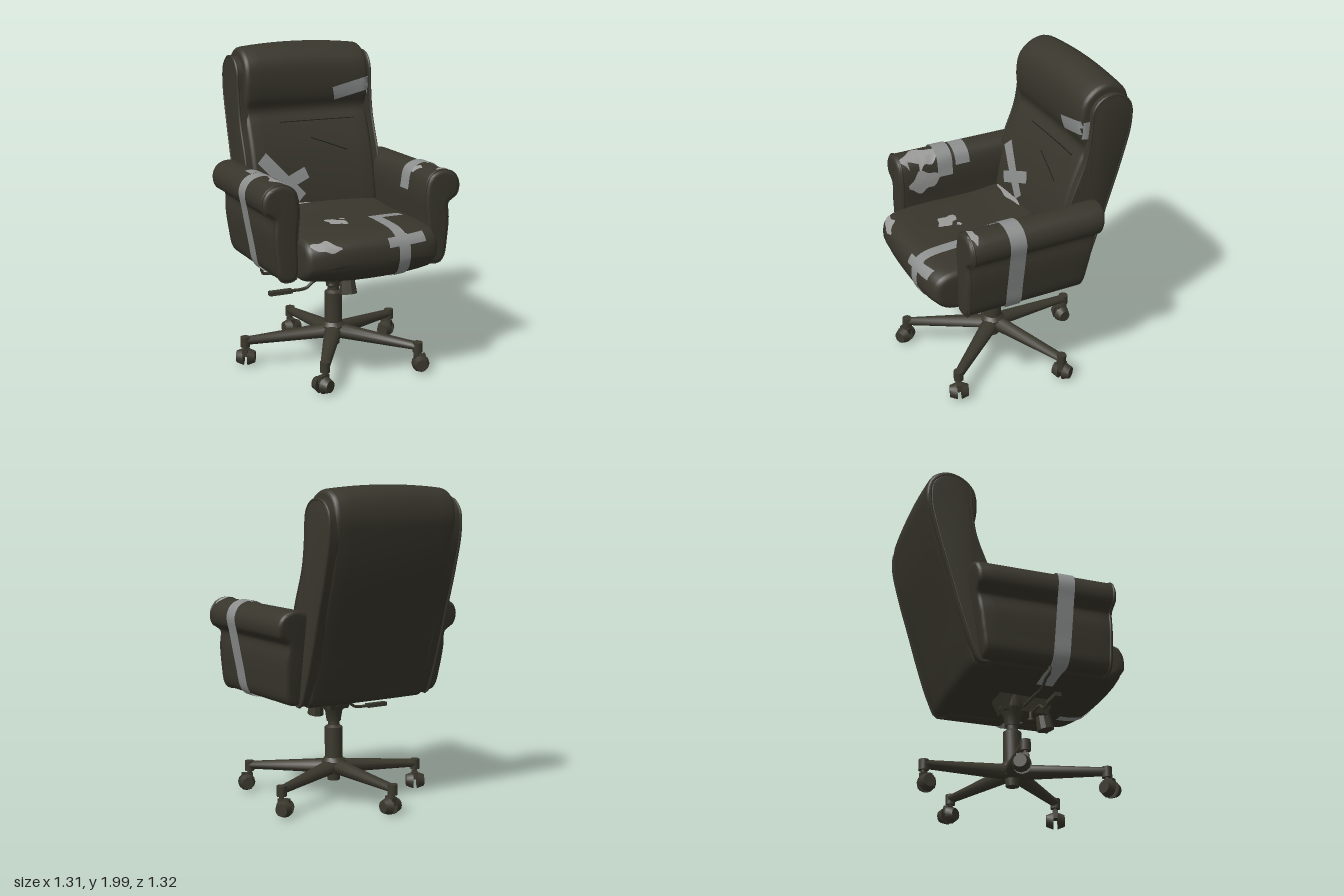
import * as THREE from 'three';
import { toCreasedNormals } from 'three/addons/utils/BufferGeometryUtils.js';

const material = (name, color, side = THREE.FrontSide) => {
  const m = new THREE.MeshStandardMaterial({ color, side });
  m.name = name;
  return m;
};
const V = (x, y, z) => new THREE.Vector3(x, y, z);

export function createModel() {
  const chair = new THREE.Group();
  chair.name = 'officeChair';
  const leather = material('leather', 0x38362c);
  const frame = material('frame', 0x3a382d);
  const tape = material('tape', 0x8d8f8f, THREE.DoubleSide);
  const foam = material('foam', 0x9b9b99, THREE.DoubleSide);
  const seam = material('seam', 0x171713, THREE.DoubleSide);

  const add = (name, geo, mat, parent = chair) => {
    const mesh = new THREE.Mesh(geo, mat);
    mesh.name = name;
    parent.add(mesh);
    return mesh;
  };
  const outline = (pts, n = 72) => new THREE.CatmullRomCurve3(
    pts.map(p => V(p[0], p[1], 0)), true, 'centripetal').getPoints(n).slice(0, -1);

  // Rounded cushion: a smooth closed profile, thickened with soft edges
  function cushion(pts, depth, bevel, along, warp) {
    const shape = new THREE.Shape(outline(pts).map(p => new THREE.Vector2(p.x, p.y)));
    const geo = new THREE.ExtrudeGeometry(shape, {
      depth: depth - 2 * bevel, steps: 10, bevelEnabled: true, bevelSize: bevel,
      bevelThickness: bevel, bevelOffset: -bevel, bevelSegments: 4,
    });
    geo.translate(0, 0, bevel - depth / 2);
    if (along === 'x') geo.rotateY(-Math.PI / 2);
    if (warp) {
      const pos = geo.attributes.position, v = V(0, 0, 0);
      for (let i = 0; i < pos.count; i++) {
        warp(v.fromBufferAttribute(pos, i));
        pos.setXYZ(i, v.x, v.y, v.z);
      }
    }
    return toCreasedNormals(geo, 0.7);
  }

  // Seat, profile in (z, y)
  const seat = add('seat', cushion([
    [-0.3, 0.71], [0, 0.685], [0.35, 0.68], [0.55, 0.69], [0.625, 0.74], [0.655, 0.83],
    [0.64, 0.92], [0.58, 0.965], [0.4, 0.985], [0, 0.985], [-0.2, 1.0], [-0.3, 0.98],
  ], 0.86, 0.035, 'x', v => {
    const e = (v.x / 0.43) ** 2;
    if (v.z > 0.3) v.z -= 0.035 * e * e * (v.z - 0.3) / 0.35;
    if (v.y < 0.8) v.y += 0.03 * e;
    else v.y -= 0.015 * e;
  }), leather);

  // Backrest with headrest roll
  const back = add('backrest', cushion([
    [-0.19, 0.8], [-0.195, 1.0], [-0.26, 1.3], [-0.335, 1.5], [-0.37, 1.58], [-0.345, 1.66],
    [-0.335, 1.78], [-0.36, 1.9], [-0.44, 1.98], [-0.53, 2.0], [-0.62, 1.95], [-0.66, 1.83],
    [-0.645, 1.7], [-0.6, 1.5], [-0.53, 1.27], [-0.45, 1.02], [-0.38, 0.8], [-0.33, 0.69], [-0.25, 0.7],
  ], 0.85, 0.03, 'x', v => {
    const e = (v.x / 0.425) ** 2;
    if (v.y > 1.8) v.y -= 0.025 * e * (v.y - 1.8) / 0.2;
    v.z += 0.012 * e;
  }), leather);

  // Side panels of the backrest with a piped edge
  const wing = [
    [-0.2, 0.95], [-0.25, 1.25], [-0.35, 1.53], [-0.375, 1.7], [-0.39, 1.85], [-0.45, 1.91],
    [-0.55, 1.915], [-0.625, 1.85], [-0.635, 1.72], [-0.585, 1.5], [-0.51, 1.25], [-0.435, 1.0],
    [-0.365, 0.8], [-0.31, 0.7], [-0.24, 0.72],
  ];
  const piping = (pts, r = 0.009) => new THREE.TubeGeometry(
    new THREE.CatmullRomCurve3(pts, true, 'centripetal'), 90, r, 6, true);
  // Armrest section, in (x, y)
  const scroll = [
    [0.44, 0.72], [0.43, 0.95], [0.42, 1.15], [0.45, 1.25], [0.53, 1.285], [0.61, 1.26],
    [0.645, 1.2], [0.635, 1.13], [0.595, 1.1], [0.573, 1.08], [0.577, 0.98], [0.567, 0.85],
    [0.55, 0.745], [0.52, 0.71],
  ];
  const arms = {};
  for (const [side, s] of [['left', 1], ['right', -1]]) {
    add(side + 'BackPanel', cushion(wing, 0.08, 0.012, 'x').translate(s * 0.428, 0, 0), leather);
    add(side + 'BackPiping', piping(wing.map(p => V(s * 0.462, p[1], p[0]))), leather);
    const armPts = scroll.map(p => [s * p[0], p[1]]);
    arms[side] = add(side + 'Armrest', cushion(armPts, 0.89, 0.025, 'z', v => {
      v.z += 0.045;
      if (v.z < 0.2) v.z += (1.26 - v.y) * 0.17 * Math.min(1, (0.2 - v.z) / 0.5);
    }), leather);
    add(side + 'ArmPiping', piping(armPts.map(p => V(p[0], p[1], 0.468)), 0.007), leather);
  }

  // Swivel column and housing
  const cz = 0.045;
  const lathe = pts => toCreasedNormals(new THREE.LatheGeometry(
    pts.map(p => new THREE.Vector2(p[0], p[1])), 20).toNonIndexed(), 0.6).translate(0, 0, cz);
  add('column', lathe([[0, 0.12], [0.04, 0.12], [0.045, 0.17], [0.078, 0.18], [0.078, 0.245],
    [0.057, 0.27], [0.057, 0.465], [0.036, 0.48], [0.036, 0.52], [0, 0.52]]), frame);
  add('housing', lathe([[0, 0.505], [0.045, 0.505], [0.055, 0.57], [0.085, 0.61],
    [0.09, 0.7], [0, 0.7]]), frame);
  const tray = new THREE.CylinderGeometry(0.13, 0.1, 0.1, 4, 1).rotateY(Math.PI / 4).scale(0.95, 1, 1.95);
  add('tiltTray', tray.toNonIndexed().translate(0, 0.64, 0.115), frame).geometry.computeVertexNormals();
  add('tensionKnob', toCreasedNormals(new THREE.CylinderGeometry(0.045, 0.055, 0.1, 10).toNonIndexed(), 0.5)
    .rotateX(-0.2).translate(0, 0.56, 0.255), frame);
  add('tiltPin', new THREE.CylinderGeometry(0.01, 0.01, 0.09, 8).translate(-0.06, 0.58, 0.145), frame);
  add('tiltPinCap', new THREE.SphereGeometry(0.022, 10, 6).scale(1, 0.6, 1).translate(-0.06, 0.54, 0.145), frame);

  // Levers under the seat
  const rod = pts => new THREE.TubeGeometry(new THREE.CatmullRomCurve3(
    pts.map(p => V(...p)), false, 'centripetal'), 24, 0.01, 6);
  add('heightLever', rod([[-0.05, 0.625, 0.1], [-0.25, 0.62, 0.1], [-0.38, 0.62, 0.1],
    [-0.45, 0.655, 0.1], [-0.5, 0.66, 0.1], [-0.51, 0.7, 0.1]]), frame);
  add('tiltLever', rod([[-0.05, 0.6, 0.16], [-0.18, 0.59, 0.16], [-0.24, 0.55, 0.16],
    [-0.36, 0.545, 0.16]]), frame);
  add('leverPaddle', new THREE.BoxGeometry(0.15, 0.025, 0.04).translate(-0.41, 0.545, 0.16), frame);

  // Five-star base with twin-wheel casters
  const R = 0.58;
  for (let i = 0; i < 5; i++) {
    const leg = new THREE.Group();
    leg.name = 'baseLeg' + (i + 1);
    leg.position.z = cz;
    leg.rotation.y = THREE.MathUtils.degToRad(42 + 72 * i);
    chair.add(leg);
    const beam = new THREE.CylinderGeometry(0.5, 0.5, 1, 8, 1).rotateY(Math.PI / 8).rotateX(Math.PI / 2);
    const p = beam.attributes.position;
    for (let k = 0; k < p.count; k++) {
      const t = p.getZ(k) + 0.5;
      p.setXYZ(k, p.getX(k) * (0.115 - 0.055 * t), 0.21 - 0.033 * t + p.getY(k) * (0.095 - 0.045 * t),
        0.02 + t * (R - 0.02));
    }
    add('beam', toCreasedNormals(beam.toNonIndexed(), 0.9), frame, leg);
    add('socket', new THREE.CylinderGeometry(0.031, 0.031, 0.065, 12).translate(0, 0.172, R - 0.01), frame, leg);
    const caster = new THREE.Group();
    caster.name = 'caster';
    caster.position.set(0, 0, R - 0.01);
    caster.rotation.y = 0.5 + i * 1.3;
    leg.add(caster);
    add('stem', new THREE.CylinderGeometry(0.014, 0.014, 0.08, 8).translate(0, 0.12, 0), frame, caster);
    add('hood', new THREE.BoxGeometry(0.035, 0.05, 0.07).translate(0, 0.1, 0.015), frame, caster);
    for (const s of [-1, 1]) {
      const wheel = new THREE.CylinderGeometry(s > 0 ? 0.038 : 0.055, s > 0 ? 0.055 : 0.038, 0.045, 12);
      add('wheel', toCreasedNormals(wheel.rotateZ(-Math.PI / 2).toNonIndexed(), 0.6)
        .translate(s * 0.036, 0.066, 0.02), frame, caster);
    }
  }

  // Strip or ragged patch laid over a surface: a grid cast along one axis onto the part
  const ray = new THREE.Raycaster();
  function drape(name, mat, target, axis, a, b, w, ragged = false) {
    const n = 16, m = 4, verts = [], ok = [], index = [];
    const s = axis[0] === '-' ? -1 : 1, ax = axis.slice(-1);
    const dx = b[0] - a[0], dy = b[1] - a[1], len = Math.hypot(dx, dy);
    for (let i = 0; i <= n; i++) for (let j = 0; j <= m; j++) {
      const t = i / n;
      const width = ragged ? w * Math.sin(Math.PI * (0.06 + 0.88 * t)) * (1 + 0.25 * Math.sin(11 * t + 2 * j)) : w;
      const o = (j / m - 0.5) * width;
      const u = a[0] + dx * t - dy / len * o, v = a[1] + dy * t + dx / len * o;
      const from = ax === 'z' ? V(u, v, 3 * s) : ax === 'y' ? V(u, 3 * s, v) : V(3 * s, v, u);
      const dir = V(ax === 'x' ? -s : 0, ax === 'y' ? -s : 0, ax === 'z' ? -s : 0);
      ray.set(from, dir);
      const hit = ray.intersectObject(target)[0];
      const q = hit ? hit.point.addScaledVector(hit.face.normal, mat === seam ? 0.003 : 0.006) : from;
      verts.push(q.x, q.y, q.z);
      ok.push(!!hit);
    }
    for (let i = 0; i < n; i++) for (let j = 0; j < m; j++) {
      const k = i * (m + 1) + j, c = [k, k + 1, k + m + 1, k + m + 2];
      if (c.every(e => ok[e])) index.push(c[0], c[2], c[1], c[1], c[2], c[3]);
    }
    const geo = new THREE.BufferGeometry();
    geo.setAttribute('position', new THREE.Float32BufferAttribute(verts, 3));
    geo.setIndex(index);
    geo.computeVertexNormals();
    add(name, geo, mat);
  }

  // Tape and tears on the backrest
  drape('backTapeDown', tape, back, 'z', [-0.36, 1.3], [-0.11, 1.03], 0.085);
  drape('backTapeAcross', tape, back, 'z', [-0.32, 1.08], [-0.06, 1.19], 0.075);
  drape('headrestTape', tape, back, 'z', [0.18, 1.67], [0.423, 1.73], 0.085);
  drape('headrestTapeSide', tape, back, 'x', [-0.34, 1.71], [-0.42, 1.71], 0.11);
  drape('backSeam', seam, back, 'z', [-0.2, 1.505], [0.32, 1.505], 0.005);
  drape('backCrack', seam, back, 'z', [0, 1.4], [0.24, 1.31], 0.006);

  // Tape and tears on the seat
  drape('seatTapeLong', tape, seat, 'y', [0.165, 0.28], [0.17, 0.63], 0.075);
  drape('seatTapeBend', tape, seat, 'y', [0.13, 0.3], [0.36, 0.26], 0.06);
  drape('seatFrontTape', tape, seat, 'z', [0.18, 0.95], [0.185, 0.7], 0.075);
  drape('seatFrontStrip', tape, seat, 'z', [0.08, 0.915], [0.33, 0.925], 0.05);
  drape('seatUnderTape', tape, seat, '-y', [0.18, 0.61], [0.18, 0.42], 0.075);
  drape('seatTear', foam, seat, 'y', [-0.15, 0.24], [-0.06, 0.38], 0.1, true);
  drape('seatSmallTear', foam, seat, 'y', [-0.06, 0.255], [-0.02, 0.255], 0.03, true);
  drape('seatFrontTear', foam, seat, 'z', [-0.4, 0.935], [-0.22, 0.915], 0.05, true);
  drape('seatBackTear', foam, seat, 'y', [-0.38, -0.18], [-0.06, -0.175], 0.05, true);

  // Tape and tears on the armrests
  drape('rightArmSquare', tape, arms.right, 'y', [-0.565, 0.05], [-0.425, 0.05], 0.1);
  drape('rightArmTear', foam, arms.right, 'y', [-0.49, 0.2], [-0.47, 0.47], 0.12, true);
  drape('rightArmInnerTear', foam, arms.right, 'x', [0.22, 1.14], [0.43, 1.1], 0.14, true);
  drape('leftArmTear', foam, arms.left, 'y', [0.5, 0.45], [0.62, 0.44], 0.05, true);
  drape('leftArmSmallTear', foam, arms.left, 'y', [0.45, 0.2], [0.48, 0.32], 0.04, true);

  // Tape bands pulled around each armrest and under the seat
  const path = [[0.412, 1.13], [0.443, 1.256], [0.53, 1.294], [0.615, 1.268], [0.652, 1.2],
    [0.635, 1.09], [0.595, 0.88], [0.565, 0.745], [0.525, 0.702], [0.42, 0.692], [0.3, 0.672]];
  for (const s of [1, -1]) {
    const pts = new THREE.CatmullRomCurve3(path.map(p => V(s * p[0], p[1], 0))).getPoints(50);
    const verts = [], index = [];
    pts.forEach((p, i) => {
      const z = (s > 0 ? 0.205 : 0.175) - 0.03 * i / 50;
      verts.push(p.x, p.y, z - 0.052, p.x, p.y, z + 0.052);
      if (i) index.push(2 * i - 2, 2 * i - 1, 2 * i, 2 * i - 1, 2 * i + 1, 2 * i);
    });
    const geo = new THREE.BufferGeometry();
    geo.setAttribute('position', new THREE.Float32BufferAttribute(verts, 3));
    geo.setIndex(index);
    geo.computeVertexNormals();
    add(s > 0 ? 'leftArmBand' : 'rightArmBand', geo, tape);
  }
  return chair;
}
